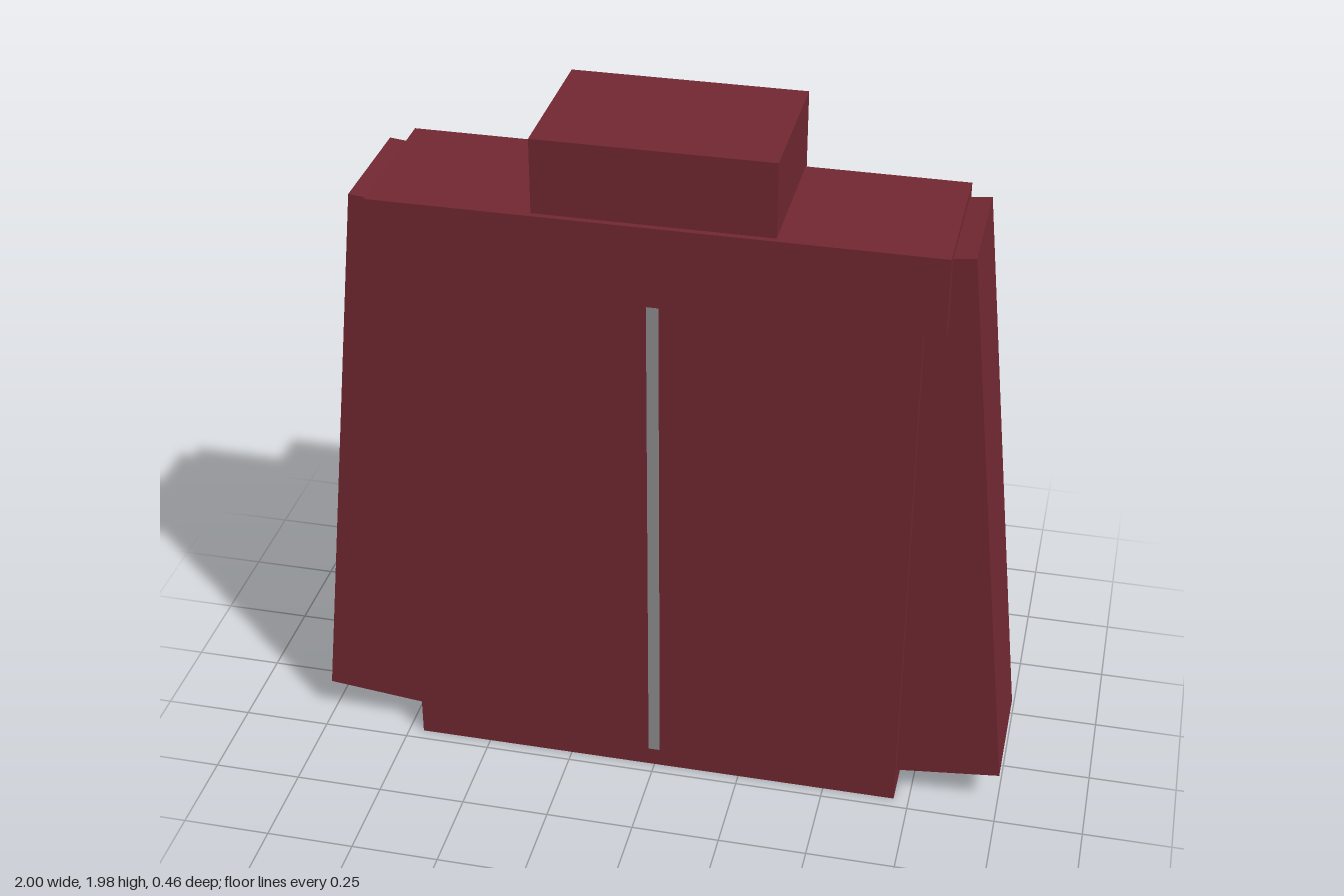
import * as THREE from 'three';

const cloth = new THREE.MeshStandardMaterial({ color: 0x722832, flatShading: true });
const metal = new THREE.MeshStandardMaterial({ color: 0x8e8e8e, flatShading: true });

// Box given by its extents on each axis
function block(name, [x0, x1], [y0, y1], [z0, z1], material = cloth) {
  const mesh = new THREE.Mesh(new THREE.BoxGeometry(x1 - x0, y1 - y0, z1 - z0), material);
  mesh.position.set((x0 + x1) / 2, (y0 + y1) / 2, (z0 + z1) / 2);
  mesh.name = name;
  return mesh;
}

export function createModel() {
  const jacket = new THREE.Group();
  jacket.name = 'jacket';

  // Torso, shoulder yoke, collar and front zip
  jacket.add(
    block('body', [-0.707, 0.707], [0, 1.7], [-0.2, 0.215]),
    block('shoulderYoke', [-0.767, 0.767], [1.54, 1.77], [-0.213, 0.227]),
    block('collar', [-0.322, 0.322], [1.76, 1.98], [-0.23, 0.21]),
    block('zip', [-0.016, 0.016], [0.06, 1.6], [0.19, 0.221], metal),
  );

  // Sleeves, flared outward at the cuffs
  for (const side of [1, -1]) {
    const sleeve = block(side > 0 ? 'leftSleeve' : 'rightSleeve', [-0.175, 0.175], [-0.827, 0.827], [-0.172, 0.18]);
    sleeve.position.x = side * 0.739;
    sleeve.position.y = 0.914;
    sleeve.rotation.z = side * 0.105;
    jacket.add(sleeve);
  }
  return jacket;
}
